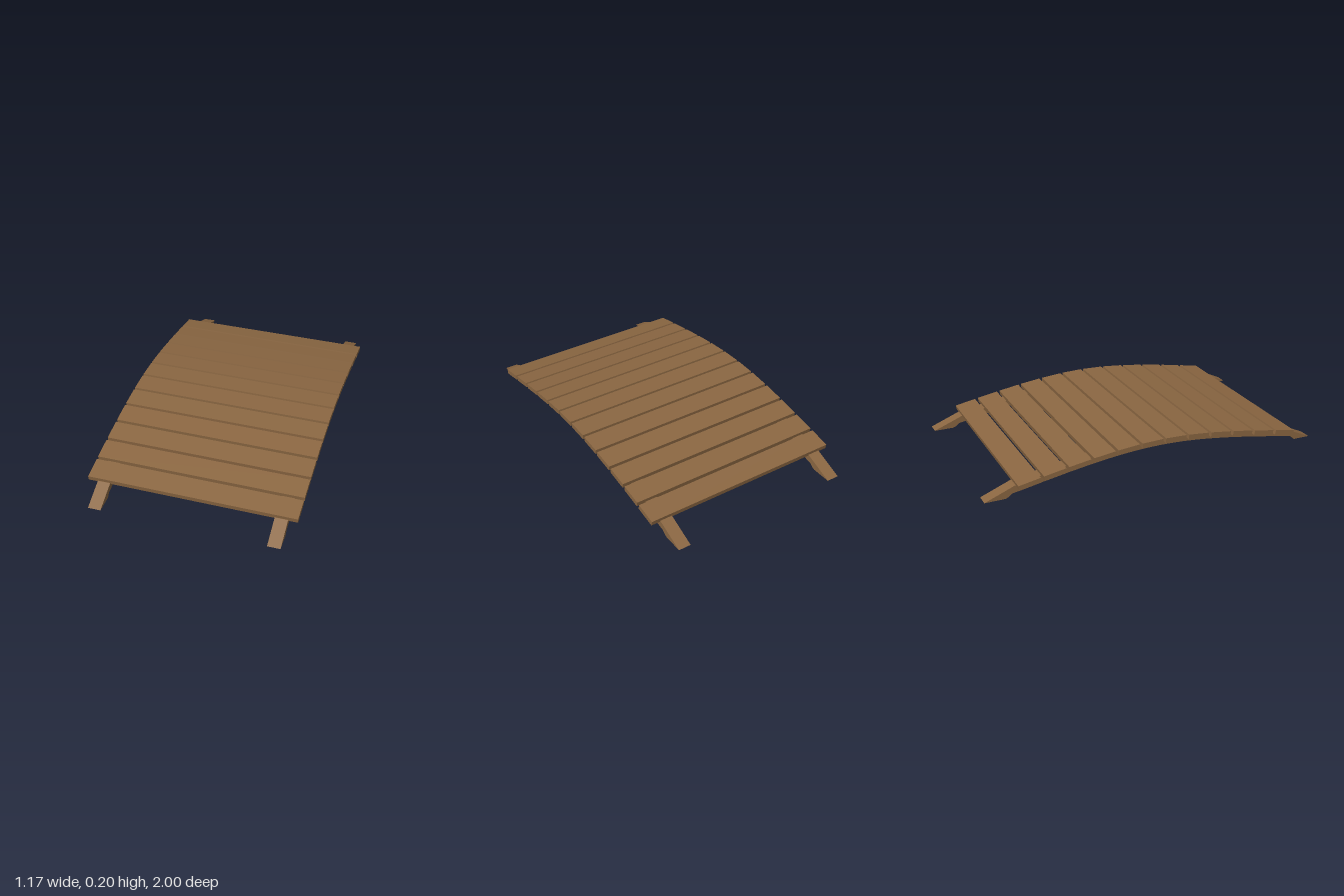
import * as THREE from 'three';

const CENTRE = 0.012; // the arch crest sits slightly forward
const deckTop = (z) => 0.195 - 0.112 * (Math.hypot(1, (z - CENTRE) / 0.5) - 1);

export function createModel() {
  const model = new THREE.Group();
  model.name = 'archedFootbridge';
  const wood = new THREE.MeshStandardMaterial({ color: 0x8b6742 });
  wood.name = 'brown wood';

  // Side profile of a beam: arched top, arched underside, flat wedge feet
  const profile = new THREE.Shape();
  const steps = 24;
  const along = (from, to, i) => from + ((to - from) * i) / steps;
  profile.moveTo(-1, 0);
  profile.lineTo(-0.885, 0);
  profile.lineTo(-0.87, 0.006);
  for (let i = 0; i <= steps; i++) {
    const z = along(-0.85, 0.874, i);
    profile.lineTo(z, deckTop(z) - 0.061);
  }
  profile.lineTo(0.893, 0.004);
  profile.lineTo(0.9, 0);
  profile.lineTo(1, 0);
  for (let i = 0; i <= steps; i++) {
    const z = along(0.852, -0.832, i);
    profile.lineTo(z, deckTop(z) - 0.021);
  }
  profile.closePath();

  const beamWidth = 0.072;
  const beamGeometry = new THREE.ExtrudeGeometry(profile, { depth: beamWidth, bevelEnabled: false });
  beamGeometry.translate(0, 0, -beamWidth / 2);
  beamGeometry.rotateY(-Math.PI / 2);
  for (const side of [1, -1]) {
    const beam = new THREE.Mesh(beamGeometry, wood);
    beam.name = side > 0 ? 'leftBeam' : 'rightBeam';
    beam.position.x = side * 0.497;
    model.add(beam);
  }

  // Deck planks, each tilted to follow the arch
  const count = 12, pitch = 0.1418, width = 0.126, thickness = 0.028;
  const plankGeometry = new THREE.BoxGeometry(1.174, thickness, width);
  plankGeometry.translate(0, -thickness / 2, 0);
  for (let i = 0; i < count; i++) {
    const z = CENTRE + (i - (count - 1) / 2) * pitch;
    const slope = (deckTop(z + width / 2) - deckTop(z - width / 2)) / width;
    const plank = new THREE.Mesh(plankGeometry, wood);
    plank.name = `plank${i + 1}`;
    plank.position.set(-0.001, deckTop(z), z);
    plank.rotation.x = -Math.atan(slope);
    model.add(plank);
  }
  return model;
}
